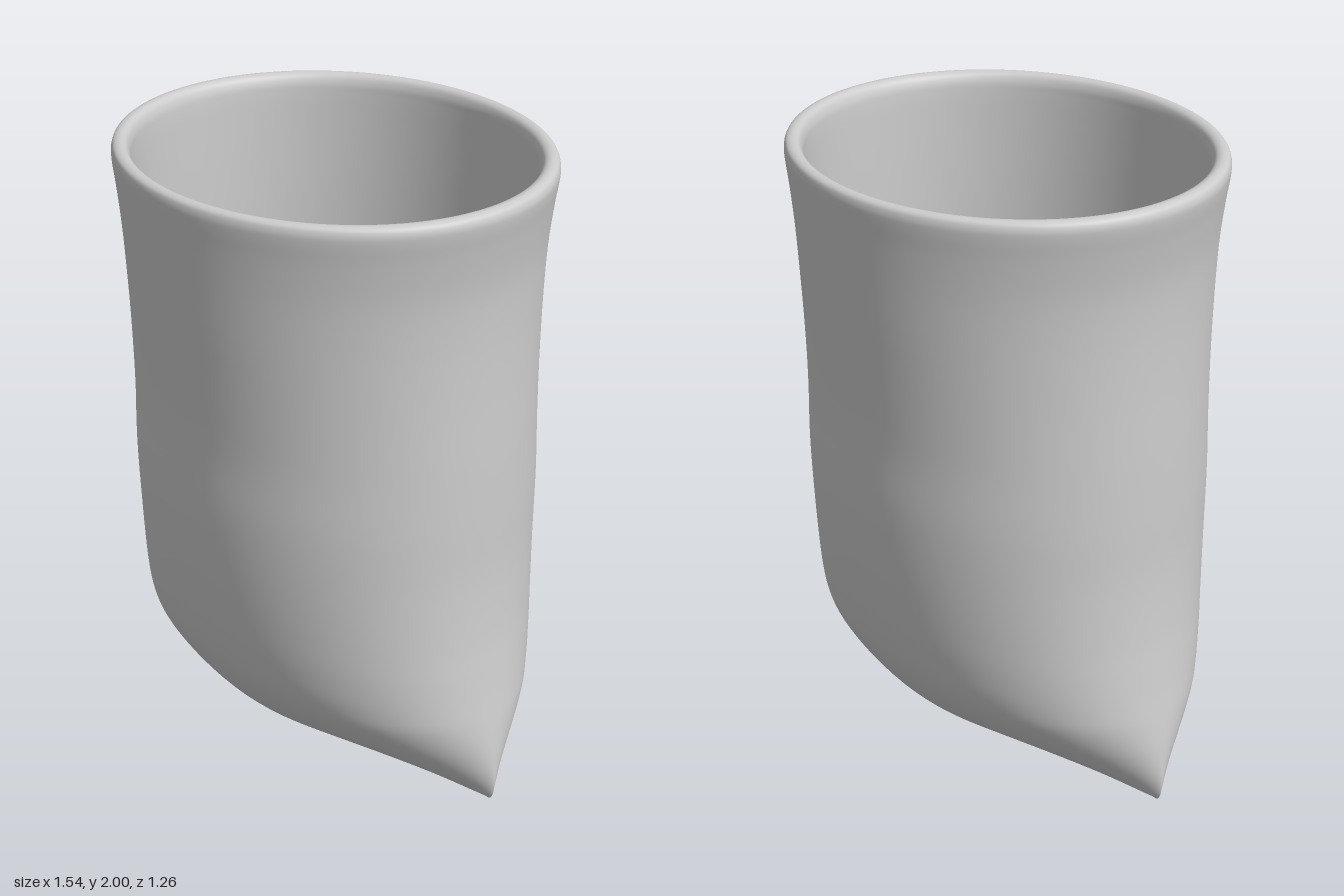
import * as THREE from 'three';
import { mergeVertices } from 'three/addons/utils/BufferGeometryUtils.js';

// Stations are [half width (x), height (y), half depth (z)]
// Outer wall, from the bottom seam up
const WALL = [
  [0.745, 0, 0], [0.755, 0.01, 0.075], [0.764, 0.035, 0.145], [0.768, 0.1, 0.255],
  [0.76, 0.2, 0.37], [0.746, 0.3, 0.445], [0.73, 0.4, 0.493], [0.716, 0.5, 0.521],
  [0.703, 0.6, 0.54], [0.687, 0.8, 0.565], [0.682, 1.0, 0.578], [0.676, 1.2, 0.579],
  [0.668, 1.4, 0.59], [0.665, 1.6, 0.605], [0.671, 1.75, 0.615], [0.69, 1.88, 0.624],
];
// Rounded lip, from the outside over to the inside
const LIP = [
  [0.703, 1.95, 0.63], [0.704, 1.975, 0.63], [0.696, 1.993, 0.624], [0.674, 2, 0.606],
  [0.654, 1.992, 0.588], [0.643, 1.97, 0.579], [0.639, 1.94, 0.577],
];
// Lining, from the lip down to a rounded floor
const LINING = [
  [0.636, 1.85, 0.573], [0.632, 1.6, 0.562], [0.633, 1.2, 0.545], [0.641, 0.9, 0.53],
  [0.651, 0.7, 0.507], [0.661, 0.5, 0.468], [0.663, 0.35, 0.42], [0.64, 0.25, 0.37],
  [0.57, 0.175, 0.29], [0.4, 0.135, 0.17], [0, 0.12, 0],
];
const AROUND = 112;
const STEPS = 5;

// One loop: an ellipse, pinched to a pointed lens near the seam on the outer wall
function ring(p, outer, out) {
  const pinch = outer
    ? 0.75 * Math.pow(Math.max(0, 1 - p.y / 0.35), 1.5) - 0.08 * Math.max(0, 1 - p.y / 1.6)
    : 0;
  const sag = outer ? Math.pow(Math.max(0, 1 - p.y / 0.5), 2) : 0;
  for (let i = 0; i < AROUND; i++) {
    const half = Math.min(i, AROUND - i);
    const t = (half / AROUND) * Math.PI * 2;
    const c = Math.cos(t);
    const s = half === 0 || half * 2 === AROUND ? 0 : Math.sin(t);
    const z = p.z * Math.pow(s, 1 + pinch) * (i > AROUND / 2 ? -1 : 1);
    // The seam sags in the middle and at both corners
    const wave = 0.035 * c * c + 0.0475 * Math.sin(Math.PI * c) ** 2;
    out.push(p.x * c, p.y + wave * sag, z);
  }
}

function pouchGeometry() {
  const stations = [...WALL, ...LIP, ...LINING].map((p) => new THREE.Vector3(...p));
  const curve = new THREE.CatmullRomCurve3(stations, false, 'centripetal');
  const rows = (stations.length - 1) * STEPS;

  const positions = [];
  for (let j = 0; j <= rows; j++) {
    ring(curve.getPoint(j / rows), j < (WALL.length + 3) * STEPS, positions);
  }
  const index = [];
  for (let j = 0; j < rows; j++) {
    for (let i = 0; i < AROUND; i++) {
      const n = (i + 1) % AROUND;
      const a = j * AROUND + i, b = j * AROUND + n;
      const c = a + AROUND, d = b + AROUND;
      index.push(a, c, b, b, c, d);
    }
  }
  const geometry = new THREE.BufferGeometry();
  geometry.setAttribute('position', new THREE.Float32BufferAttribute(positions, 3));
  geometry.setIndex(index);
  // Weld front and back along the closed seam, and the middle of the floor
  const welded = mergeVertices(geometry, 1e-5);
  welded.computeVertexNormals();
  return welded;
}

export function createModel() {
  const group = new THREE.Group();
  group.name = 'openPouch';
  const material = new THREE.MeshStandardMaterial({ color: 0xcccccc });
  const pouch = new THREE.Mesh(pouchGeometry(), material);
  pouch.name = 'pouchBody';
  group.add(pouch);
  return group;
}
